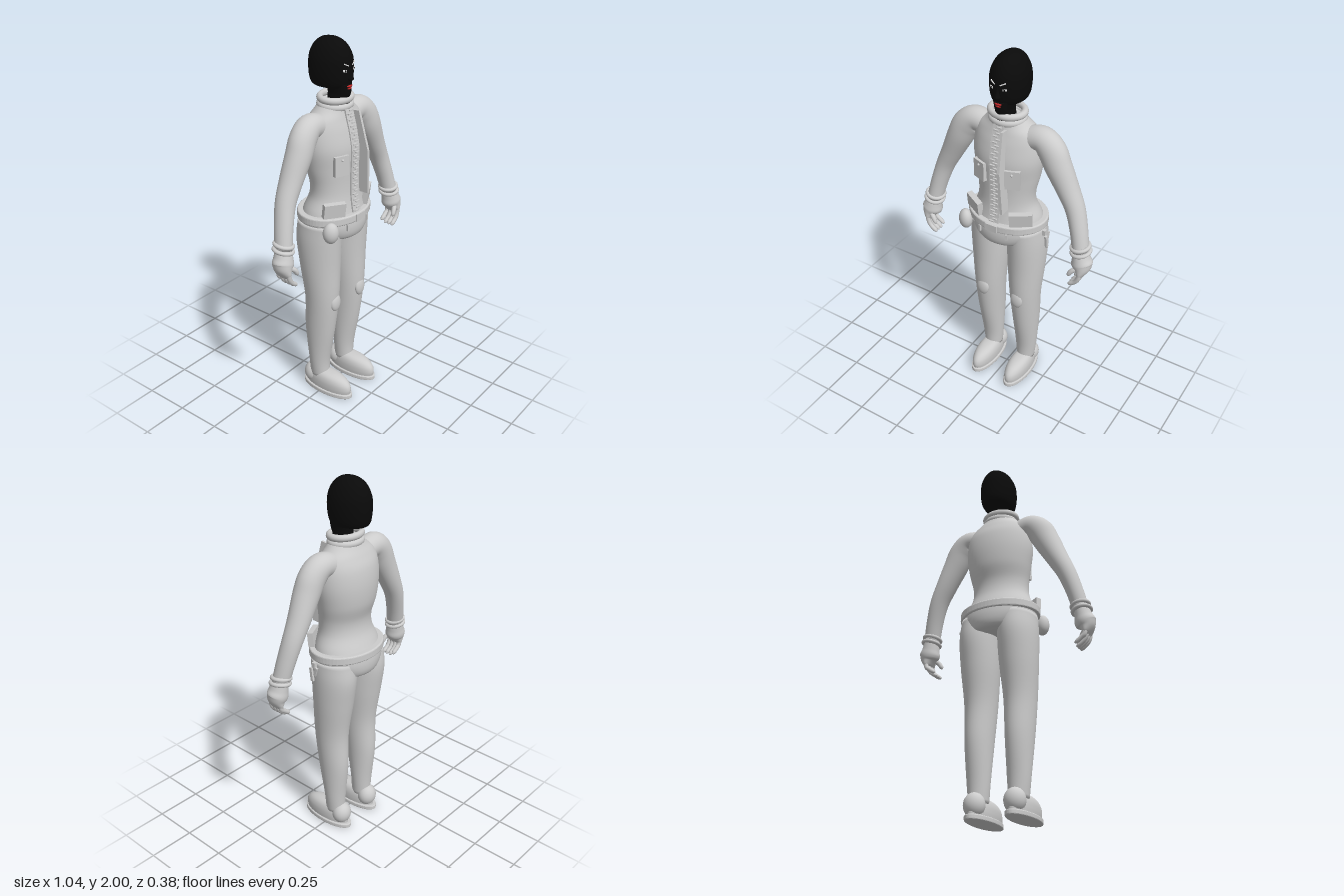
import * as THREE from 'three';

const mat = (name, color, side = THREE.FrontSide) => {
  const m = new THREE.MeshStandardMaterial({ color, side });
  m.name = name;
  return m;
};

// Smooth skin through sections [x, y, z, radiusA, radiusB]; flat keeps every ring horizontal
function loft(sections, { flat = false, sides = 32, steps = 6 } = {}) {
  const path = new THREE.CatmullRomCurve3(sections.map(s => new THREE.Vector3(s[0], s[1], s[2])), false, 'catmullrom', 0.5);
  const radii = new THREE.CatmullRomCurve3(sections.map(s => new THREE.Vector3(s[3], s[4], 0)), false, 'catmullrom', 0.5);
  const rows = (sections.length - 1) * steps;
  const pos = [], index = [];
  const down = sections.at(-1)[1] < sections[0][1];
  const ends = [];
  for (let j = 0; j <= rows; j++) {
    const p = path.getPoint(j / rows), r = radii.getPoint(j / rows);
    const t = flat ? new THREE.Vector3(0, down ? -1 : 1, 0) : path.getTangent(j / rows);
    const a = new THREE.Vector3().crossVectors(t, new THREE.Vector3(0, 0, 1)).normalize();
    const b = new THREE.Vector3().crossVectors(a, t).normalize();
    for (let i = 0; i < sides; i++) {
      const w = i / sides * Math.PI * 2;
      const v = p.clone().addScaledVector(a, Math.cos(w) * Math.max(r.x, 0.0005))
        .addScaledVector(b, Math.sin(w) * Math.max(r.y, 0.0005));
      pos.push(v.x, v.y, v.z);
      if (j < rows) {
        const k = (i + 1) % sides, n = j * sides;
        index.push(n + i, n + sides + i, n + k, n + k, n + sides + i, n + sides + k);
      }
    }
    if (j === 0 || j === rows) ends.push(p);
  }
  // End caps
  const c = pos.length / 3, last = rows * sides;
  ends.forEach(p => pos.push(p.x, p.y, p.z));
  for (let i = 0; i < sides; i++) {
    const k = (i + 1) % sides;
    index.push(c, i, k, c + 1, last + k, last + i);
  }
  const g = new THREE.BufferGeometry();
  g.setAttribute('position', new THREE.Float32BufferAttribute(pos, 3));
  g.setIndex(index);
  g.computeVertexNormals();
  return g;
}

// Horizontal elliptical slab with a soft edge
function slab(rx, rz, height, bevel) {
  const shape = new THREE.Shape();
  shape.absellipse(0, 0, rx - bevel, rz - bevel, 0, Math.PI * 2);
  const g = new THREE.ExtrudeGeometry(shape, { depth: height - 2 * bevel, bevelSize: bevel, bevelThickness: bevel, bevelSegments: 3, curveSegments: 32 });
  return g.rotateX(-Math.PI / 2).translate(0, bevel, 0);
}

export function createModel() {
  const root = new THREE.Group();
  root.name = 'suitedFigure';
  const suit = mat('suitGrey', 0xcccccc), black = mat('maskBlack', 0x0a0a0a);
  const white = mat('eyeWhite', 0xf0f0f0), red = mat('lipRed', 0xc02828);

  const add = (name, geo, material = suit, p = [0, 0, 0], r = [0, 0, 0], s = [1, 1, 1]) => {
    const m = new THREE.Mesh(geo, material);
    m.name = name;
    m.position.set(...p);
    m.rotation.set(...r);
    m.scale.set(...s);
    root.add(m);
    return m;
  };
  const box = (x, y, z) => new THREE.BoxGeometry(x, y, z);
  const ball = r => new THREE.SphereGeometry(r, 24, 16);

  // Torso and hips
  const torso = [
    [0, 1.08, -0.02, 0.2, 0.155], [0, 1.13, -0.015, 0.187, 0.138], [0, 1.2, -0.007, 0.16, 0.12],
    [0, 1.27, -0.007, 0.158, 0.117], [0, 1.36, -0.018, 0.175, 0.13], [0, 1.46, -0.02, 0.19, 0.135],
    [0, 1.55, -0.023, 0.185, 0.122], [0, 1.61, -0.02, 0.165, 0.102], [0, 1.65, -0.015, 0.12, 0.087],
    [0, 1.68, -0.01, 0.09, 0.078]];
  add('jacket', loft(torso, { flat: true, sides: 48 }));
  add('jacketHem', loft([[0, 0.965, -0.02, 0.1, 0.11], [0, 0.975, -0.02, 0.155, 0.145], [0, 1.0, -0.02, 0.182, 0.16],
    [0, 1.04, -0.02, 0.203, 0.165], [0, 1.09, -0.02, 0.208, 0.162]], { flat: true, sides: 48 }));
  add('belt', slab(0.222, 0.172, 0.045, 0.008), suit, [0, 1.07, -0.018]);
  add('buckle', box(0.07, 0.04, 0.014), suit, [0, 1.092, 0.152]);

  // Collar
  const ring = new THREE.TorusGeometry(0.088, 0.018, 16, 48).rotateX(Math.PI / 2);
  add('collarRoll', ring, suit, [0, 1.703, -0.008], [0.06, 0, 0], [1, 1, 0.83]);
  add('collarBase', ring, suit, [0, 1.668, -0.01], [0.06, 0, 0], [0.95, 1, 0.85]);

  // Zip strip and teeth following the chest
  const frontZ = y => {
    const i = Math.min(Math.max(torso.findIndex(s => s[1] > y), 1), torso.length - 1);
    const [a, b] = [torso[i - 1], torso[i]];
    return THREE.MathUtils.lerp(a[2] + a[4], b[2] + b[4], (y - a[1]) / (b[1] - a[1]));
  };
  for (let i = 0; i < 18; i++) {
    const y0 = 1.115 + i * 0.03, y1 = y0 + 0.03;
    const z0 = frontZ(y0), z1 = frontZ(y1);
    add('zipStrip', box(0.06, Math.hypot(0.03, z1 - z0) + 0.002, 0.012), suit,
      [0, (y0 + y1) / 2, (z0 + z1) / 2], [Math.atan2(z1 - z0, 0.03), 0, 0]);
    for (const k of [0, 1]) {
      const y = y0 + 0.007 + k * 0.015;
      add('zipTooth', box(0.026, 0.006, 0.012), suit, [k ? 0.008 : -0.008, y, frontZ(y) + 0.008]);
    }
  }

  // Upright storm flap beside the zip
  const flap = new THREE.Shape([[0.075, -0.22], [0.157, -0.22], [0.162, 0.02], [0.112, 0.225], [0.065, 0.22]]
    .map(p => new THREE.Vector2(...p)));
  add('stormFlap', new THREE.ExtrudeGeometry(flap, { depth: 0.014, bevelEnabled: false }).rotateY(-Math.PI / 2),
    suit, [0.058, 1.42, 0], [0, 0, 0.055]);

  // Head, neck and face
  add('mask', loft([[0, 1.757, -0.035, 0.03, 0.05], [0, 1.76, -0.035, 0.07, 0.092], [0, 1.775, -0.036, 0.085, 0.11],
    [0, 1.81, -0.036, 0.094, 0.118], [0, 1.86, -0.036, 0.097, 0.12], [0, 1.91, -0.036, 0.091, 0.115],
    [0, 1.96, -0.037, 0.068, 0.09], [0, 1.99, -0.038, 0.035, 0.05], [0, 2.0, -0.038, 0.001, 0.001]],
  { flat: true, sides: 40 }), black);
  add('neck', loft([[0, 1.66, 0.01, 0.05, 0.06], [0, 1.71, 0.012, 0.046, 0.06], [0, 1.735, 0.016, 0.045, 0.064],
    [0, 1.78, 0.016, 0.056, 0.066]], { flat: true }), black);
  add('nose', loft([[0, 1.797, 0.075, 0.008, 0.01], [0, 1.808, 0.08, 0.015, 0.022], [0, 1.83, 0.078, 0.01, 0.016],
    [0, 1.87, 0.074, 0.006, 0.008]], { flat: true, sides: 16 }), black);
  add('upperLip', ball(0.02), red, [0, 1.771, 0.078], [0, 0, 0], [1, 0.3, 0.45]);
  add('lowerLip', ball(0.016), red, [0, 1.759, 0.077], [0, 0, 0], [1, 0.35, 0.5]);

  for (const s of [1, -1]) {
    const side = s > 0 ? 'left' : 'right';
    const mir = list => list.map(([x, ...rest]) => [x * s, ...rest]);
    const part = (name, geo, p, r = [0, 0, 0], scale = [1, 1, 1], m = suit) =>
      add(side + name, geo, m, [p[0] * s, p[1], p[2]], [r[0], r[1] * s, r[2] * s], scale);

    // Eyes and brows
    part('Eye', box(0.02, 0.009, 0.006), [0.036, 1.852, 0.077], [0, 0.34, 0.15], [1, 1, 1], white);
    part('Pupil', box(0.007, 0.008, 0.006), [0.035, 1.852, 0.0785], [0, 0.34, 0], [1, 1, 1], black);
    part('Brow', box(0.03, 0.005, 0.006), [0.027, 1.88, 0.079], [0, 0.25, 0.45], [1, 1, 1], white);

    // Sleeve
    part('Sleeve', loft(mir([[0.1, 1.575, -0.02, 0.06, 0.06], [0.19, 1.592, -0.02, 0.066, 0.064],
      [0.245, 1.55, -0.015, 0.074, 0.066], [0.285, 1.475, -0.012, 0.07, 0.066], [0.342, 1.36, -0.015, 0.058, 0.06],
      [0.39, 1.26, -0.012, 0.05, 0.054], [0.425, 1.15, 0.003, 0.045, 0.05], [0.45, 1.04, 0.02, 0.043, 0.046]])), [0, 0, 0]);

    // Wrist rings and glove
    const cuff = new THREE.TorusGeometry(0.046, 0.0105, 12, 36).rotateX(Math.PI / 2);
    part('CuffRing', cuff, [0.446, 1.068, 0.018], [0.1, 0, 0.2]);
    part('CuffRingLow', cuff, [0.452, 1.04, 0.02], [0.1, 0, 0.2], [1.03, 1, 1.03]);
    part('Glove', loft(mir([[0.452, 1.045, 0.02, 0.04, 0.044], [0.459, 1.005, 0.025, 0.048, 0.05],
      [0.466, 0.975, 0.028, 0.056, 0.054], [0.473, 0.95, 0.032, 0.042, 0.05], [0.472, 0.915, 0.035, 0.018, 0.046],
      [0.466, 0.9, 0.035, 0.006, 0.025]])), [0, 0, 0]);
    for (let i = 0; i < 4; i++) {
      const z = 0.07 - i * 0.023, d = i === 3 ? 0.012 : 0;
      part('Finger', loft(mir([[0.474, 0.935, z, 0.012, 0.012], [0.468, 0.9, z, 0.013, 0.012],
        [0.452, 0.873 + d, z, 0.012, 0.012], [0.424, 0.853 + d, z, 0.011, 0.011], [0.412, 0.85 + d, z, 0.003, 0.003]]),
      { sides: 12 }), [0, 0, 0]);
    }
    part('Thumb', loft(mir([[0.455, 0.955, 0.06, 0.014, 0.014], [0.432, 0.938, 0.072, 0.013, 0.013],
      [0.418, 0.915, 0.076, 0.011, 0.011], [0.414, 0.902, 0.076, 0.002, 0.002]]), { sides: 12 }), [0, 0, 0]);

    // Trouser leg and knee pad
    part('Leg', loft(mir([[0.11, 0.09, -0.033, 0.05, 0.055], [0.112, 0.2, -0.033, 0.06, 0.06],
      [0.114, 0.4, -0.025, 0.072, 0.087], [0.113, 0.6, -0.012, 0.084, 0.097], [0.112, 0.8, -0.024, 0.1, 0.115],
      [0.112, 0.95, -0.03, 0.104, 0.13], [0.108, 1.06, -0.022, 0.1, 0.13]]), { flat: true }), [0, 0, 0]);
    part('KneePad', ball(0.037), [0.109, 0.592, 0.076], [-0.05, 0, 0], [1, 1.4, 0.5]);

    // Boot
    part('Sole', slab(0.065, 0.163, 0.026, 0.006), [0.11, 0, 0.023]);
    part('Shoe', loft(mir([[0.11, 0.02, 0.027, 0.056, 0.148], [0.11, 0.05, 0.03, 0.058, 0.15],
      [0.11, 0.08, 0.03, 0.056, 0.14], [0.11, 0.105, 0.024, 0.047, 0.115], [0.11, 0.12, 0.01, 0.03, 0.075],
      [0.11, 0.126, 0, 0.002, 0.002]]), { flat: true }), [0, 0, 0]);
    part('HeelCounter', ball(0.055), [0.11, 0.078, -0.078], [0, 0, 0], [1.02, 1.15, 0.95]);

    // Chest and waist pockets
    part('ChestPocket', box(0.08, 0.105, 0.022), [0.094, 1.388, 0.1], [0, 0.35, 0]);
    part('PocketButton', ball(0.007), [0.096, 1.42, 0.112]);
    part('WaistPocket', box(0.118, 0.075, 0.03), [0.138, 1.157, 0.09], [0.12, 0.5, 0]);
    part('HemTab', box(0.012, 0.035, 0.01), [0.08, 1.05, 0.136], [0, 0.2, 0]);
  }

  // Belt pouch and hanging tool
  add('beltPouch', ball(0.042), suit, [-0.188, 1.052, 0.108], [0, -0.6, 0], [1, 1.35, 0.85]);
  add('toolHook', box(0.02, 0.03, 0.02), suit, [0.228, 1.055, 0]);
  add('toolHandle', box(0.012, 0.075, 0.016), suit, [0.243, 1.005, 0.005], [0.15, 0, 0]);
  add('toolJaw', box(0.01, 0.05, 0.014), suit, [0.238, 1.025, -0.018], [-0.3, 0, 0]);

  return root;
}
